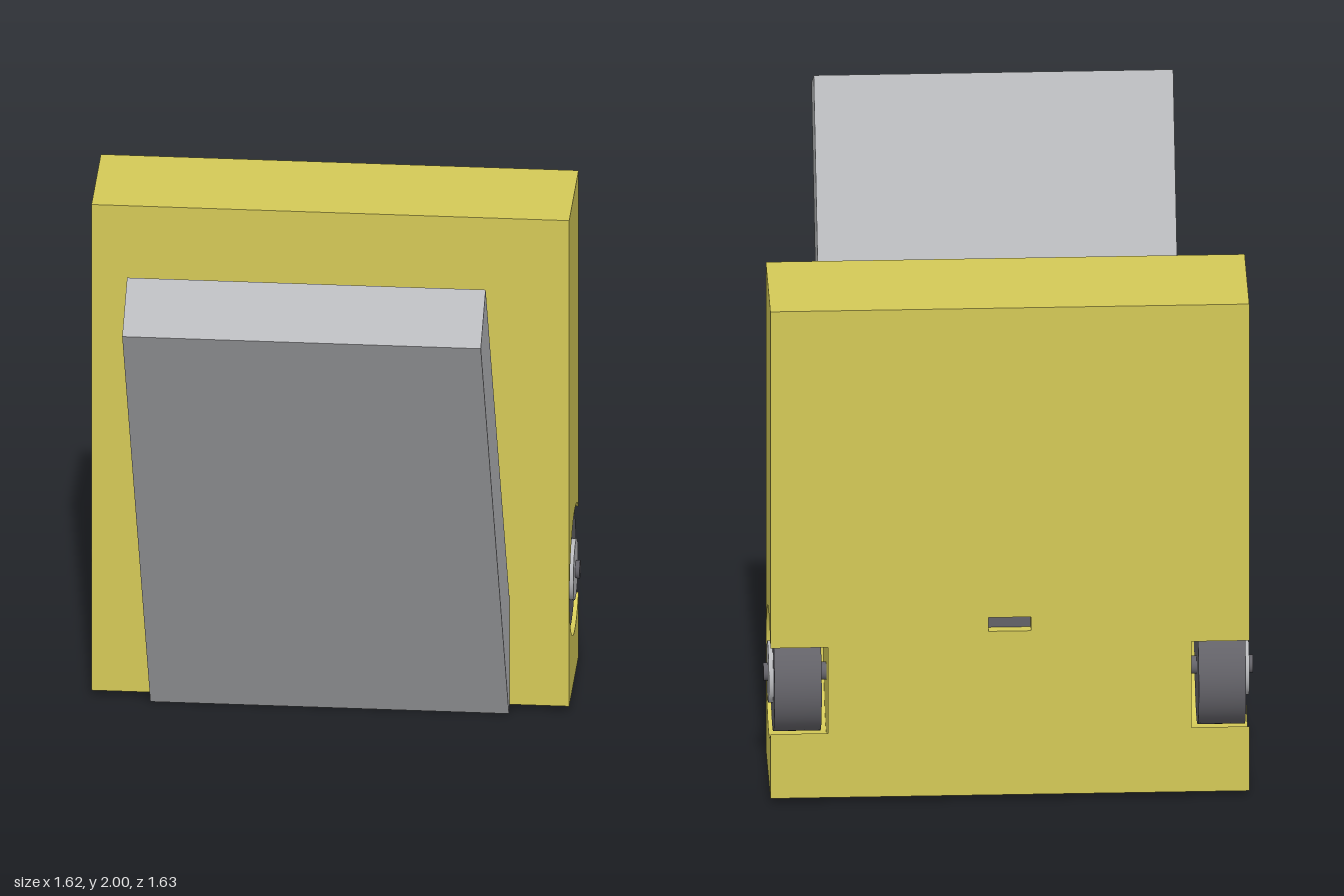
import * as THREE from 'three';
import { toCreasedNormals } from 'three/addons/utils/BufferGeometryUtils.js';

const material = (name, color) => new THREE.MeshStandardMaterial({ name, color });

export function createModel() {
  const yellow = material('yellow', 0xd4c957);
  const lightGray = material('light gray', 0xb8b9bc);
  const darkGray = material('dark gray', 0x636268);

  const model = new THREE.Group();
  model.name = 'wedgeRobot';

  const X = 0.79, WELL_X = 0.6;               // body half width, inner wall of the wheel wells
  const BOTTOM = 0.02, TOP = 1.79, FRONT = -0.385, BACK = -0.775;
  const AXLE_Y = 0.41, AXLE_Z = -0.62, WELL_R = 0.22;

  function add(parent, name, geometry, mat) {
    const mesh = new THREE.Mesh(geometry, mat);
    mesh.name = name;
    parent.add(mesh);
    return mesh;
  }

  // Extrude a side profile drawn in (-z, y) from x0 to x1
  function extrudeAcross(shape, x0, x1) {
    const g = new THREE.ExtrudeGeometry(shape, { depth: x1 - x0, bevelEnabled: false, curveSegments: 48 });
    g.rotateY(Math.PI / 2).translate(x0, 0, 0);
    return toCreasedNormals(g, 0.5);
  }

  // Body: solid centre, with a back skin pierced by a small port
  const body = new THREE.Group();
  body.name = 'body';
  model.add(body);
  const skin = 0.04, height = TOP - BOTTOM, midY = (TOP + BOTTOM) / 2;
  const coreDepth = FRONT - BACK - skin;
  add(body, 'bodyCore', new THREE.BoxGeometry(WELL_X * 2, height, coreDepth), yellow)
    .position.set(0, midY, FRONT - coreDepth / 2);

  const panel = new THREE.Shape();
  panel.moveTo(-WELL_X, BOTTOM).lineTo(WELL_X, BOTTOM).lineTo(WELL_X, TOP).lineTo(-WELL_X, TOP).closePath();
  const portW = 0.07, portH = 0.025, portY = 0.64;
  const hole = new THREE.Path();
  hole.moveTo(-portW, portY - portH).lineTo(-portW, portY + portH)
    .lineTo(portW, portY + portH).lineTo(portW, portY - portH).closePath();
  panel.holes.push(hole);
  add(body, 'backPanel', new THREE.ExtrudeGeometry(panel, { depth: skin, bevelEnabled: false }), yellow)
    .position.z = BACK;
  add(body, 'port', new THREE.BoxGeometry(portW * 2, portH * 2, 0.008), darkGray)
    .position.set(0, portY, BACK + skin - 0.004);

  // Body sides: round wheel wells that break through the back face
  const a = Math.acos((AXLE_Z - BACK) / WELL_R);
  const side = new THREE.Shape();
  side.moveTo(-FRONT, BOTTOM);
  side.lineTo(-BACK, BOTTOM);
  side.absarc(-AXLE_Z, AXLE_Y, WELL_R, -a, a, true);
  side.lineTo(-BACK, TOP);
  side.lineTo(-FRONT, TOP);
  side.closePath();
  add(body, 'leftSide', extrudeAcross(side, WELL_X, X), yellow);
  add(body, 'rightSide', extrudeAcross(side, -X, -WELL_X), yellow);

  // Sloping front plate, trimmed flat where it meets the body
  const plate = new THREE.Shape();
  plate.moveTo(-0.615, 2).lineTo(-0.817, 1.88).lineTo(0.355, 0).lineTo(0.384, 0.02).lineTo(0.384, 0.4).closePath();
  add(model, 'frontPlate', extrudeAcross(plate, -0.593, 0.593), lightGray);

  // Wheels: tyre, hub disc and axle on each side
  for (const [label, s] of [['left', 1], ['right', -1]]) {
    const wheel = new THREE.Group();
    wheel.name = label + 'Wheel';
    wheel.position.set(0, AXLE_Y, AXLE_Z);
    model.add(wheel);
    const disc = (name, r, x0, x1, mat) => {
      const g = new THREE.CylinderGeometry(r, r, x1 - x0, 48).rotateZ(Math.PI / 2);
      add(wheel, name, g, mat).position.x = s * (x0 + x1) / 2;
    };
    disc('tyre', 0.197, 0.622, 0.778, darkGray);
    disc('hub', 0.102, 0.7, 0.793, lightGray);
    disc('axle', 0.03, 0.58, 0.808, darkGray);
  }

  return model;
}
